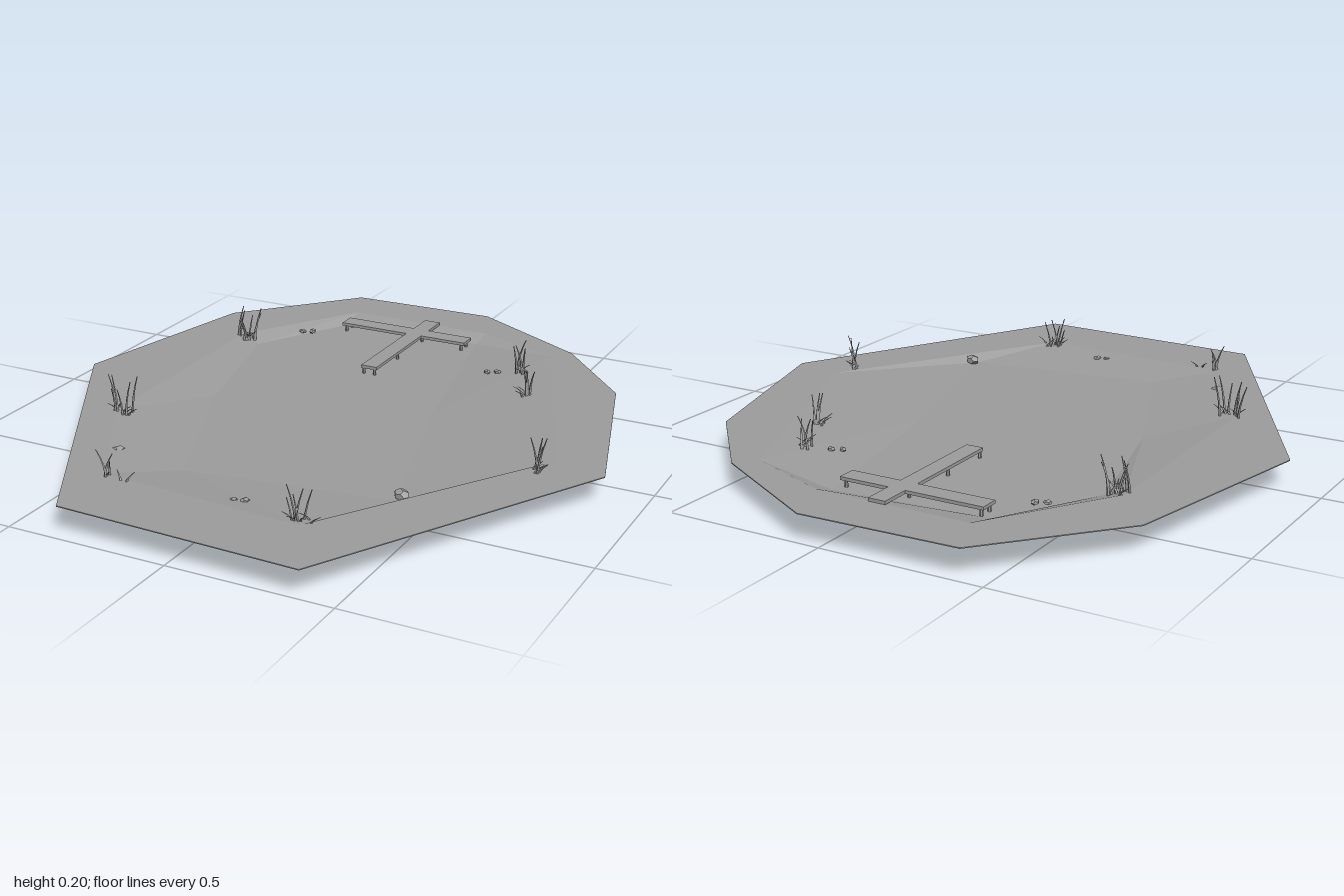
import * as THREE from 'three';

const grey = new THREE.MeshStandardMaterial({ color: 0x9d9d9d, flatShading: true, side: THREE.DoubleSide });

// Corners as [x, z]
const outline = [[-0.425, -0.985], [0.065, -1], [0.46, -0.78], [0.71, -0.5], [0.89, 0.12], [0.4, 1], [-0.355, 0.975], [-0.89, 0.035], [-0.75, -0.62]];
const shoreline = [[-0.36, -0.83], [0.13, -0.83], [0.41, -0.72], [0.73, 0.08], [0.28, 0.78], [-0.36, 0.74], [-0.6, 0.33], [-0.61, -0.45]];
const waterEdge = [[-0.37, -0.73], [0.12, -0.77], [0.25, -0.12], [0.42, 0.49], [-0.2, 0.58], [-0.2, 0.58], [-0.42, 0.05], [-0.54, -0.43]];

// Basin corners as [x, y, z]; the lower loop repeats its four corners
const basinRim = [
  [-0.47, 0.07, -0.79], [0.1, 0.062, -0.85], [0.4, 0.07, -0.73], [0.755, 0.062, -0.08], [0.64, 0.062, 0.5],
  [0.37, 0.075, 0.79], [-0.3, 0.075, 0.77], [-0.57, 0.068, 0.49], [-0.68, 0.073, -0.42],
];
const backLeft = [0.15, 0.022, -0.57], backRight = [-0.35, 0.022, -0.53];
const frontRight = [-0.33, 0.022, 0.39], frontLeft = [0.48, 0.022, 0.28];
const basinFoot = [backRight, backLeft, backLeft, frontLeft, frontLeft, frontLeft, frontRight, frontRight, backRight];

const at = (loop, y) => loop.map(([x, z]) => [x, y, z]);

function add(parent, name, geometry, x = 0, y = 0, z = 0) {
  const mesh = new THREE.Mesh(geometry, grey);
  mesh.name = name;
  mesh.position.set(x, y, z);
  parent.add(mesh);
  return mesh;
}

// Faceted wall between two loops, closed by a fan if a centre point is given
function facets(upper, lower, centre) {
  const pos = [];
  const tri = (...pts) => pts.forEach(p => pos.push(...p));
  upper.forEach((a, i) => {
    const j = (i + 1) % upper.length;
    tri(a, lower[i], upper[j]);
    tri(upper[j], lower[i], lower[j]);
    if (centre) tri(lower[i], centre, lower[j]);
  });
  const geo = new THREE.BufferGeometry();
  geo.setAttribute('position', new THREE.Float32BufferAttribute(pos, 3));
  geo.computeVertexNormals();
  return geo;
}

let seed = 7;
const rand = () => (seed = (seed * 16807) % 2147483647) / 2147483647;
const spread = r => (rand() * 2 - 1) * r;

// Thin tapering blade that curves sideways towards its tip
function bladeGeometry(height, lean) {
  const geo = new THREE.CylinderGeometry(0.0015, 0.005, height, 4, 4);
  geo.translate(0, height / 2, 0);
  const p = geo.attributes.position;
  const angle = rand() * Math.PI * 2;
  for (let i = 0; i < p.count; i++) {
    const bend = lean * (p.getY(i) / height) ** 2;
    p.setX(i, p.getX(i) + bend * Math.cos(angle));
    p.setZ(i, p.getZ(i) + bend * Math.sin(angle));
  }
  geo.computeVertexNormals();
  return geo;
}

export function createModel() {
  const group = new THREE.Group();
  group.name = 'pond';

  // Thin flat bank with an opening for the pond
  const points = loop => loop.map(([x, z]) => new THREE.Vector2(x, -z));
  const bankShape = new THREE.Shape(points(outline));
  bankShape.holes.push(new THREE.Path(points(shoreline)));
  const bank = new THREE.ExtrudeGeometry(bankShape, { depth: 0.003, bevelEnabled: false }).rotateX(-Math.PI / 2);
  add(group, 'bank', bank, 0, 0.081, 0);

  // Uneven shore and water surface
  add(group, 'water', facets(at(shoreline, 0.084), at(waterEdge, 0.063), [0, 0.065, 0]));

  // Sloping basin wall underneath, open at the foot
  add(group, 'basin', facets(basinRim, basinFoot));

  // Cross-shaped jetty on posts
  const jetty = new THREE.Group();
  jetty.name = 'jetty';
  group.add(jetty);
  const crossShape = new THREE.Shape([
    [-0.345, 0.68], [-0.1, 0.68], [-0.1, 0.337], [-0.045, 0.337], [-0.045, 0.68], [0.114, 0.68],
    [0.114, 0.74], [-0.045, 0.74], [-0.045, 0.835], [-0.1, 0.835], [-0.1, 0.74], [-0.345, 0.74],
  ].map(([x, y]) => new THREE.Vector2(x, y)));
  const deck = new THREE.ExtrudeGeometry(crossShape, { depth: 0.01, bevelEnabled: false }).rotateX(-Math.PI / 2);
  add(jetty, 'deck', deck, 0, 0.084, 0);
  const posts = [];
  for (const x of [-0.333, 0.1]) for (const z of [-0.73, -0.69]) posts.push([x, z]);
  for (const x of [-0.093, -0.055]) for (const z of [-0.345, -0.515, -0.71]) posts.push([x, z]);
  posts.forEach(([x, z]) => add(jetty, 'post', new THREE.CylinderGeometry(0.005, 0.005, 0.086, 6), x, 0.043, z));

  // Reed clumps: x, z, base, top, blade count, spread along x and z
  const clumps = [
    [-0.59, -0.43, 0.06, 0.185, 7, 0.035, 0.04], [0.375, -0.56, 0.075, 0.18, 4, 0.025, 0.03],
    [0.46, -0.36, 0.075, 0.17, 3, 0.018, 0.015], [0.7, 0.17, 0.05, 0.19, 4, 0.016, 0.02],
    [-0.58, 0.33, 0.06, 0.2, 6, 0.035, 0.025], [0.27, 0.75, 0.025, 0.18, 5, 0.03, 0.02],
    [-0.31, 0.75, 0.075, 0.165, 3, 0.04, 0.012],
  ];
  for (const [x, z, base, top, count, sx, sz] of clumps) {
    const clump = new THREE.Group();
    clump.name = 'reedClump';
    group.add(clump);
    for (let i = 0; i < count; i++) {
      const height = (top - base) * (i === 0 ? 1 : 0.65 + 0.35 * rand());
      add(clump, 'reed', bladeGeometry(height, 0.025), x + spread(sx), base, z + spread(sz));
      add(clump, 'lowLeaf', bladeGeometry(0.03, 0.03), x + spread(sx), 0.075, z + spread(sz));
    }
  }

  // Stones along the shore: x, z, radius
  const stones = [
    [0.43, 0.47, 0.027], [-0.43, 0.57, 0.022], [0.04, 0.71, 0.012], [0.07, 0.7, 0.015],
    [-0.45, -0.585, 0.013], [-0.42, -0.6, 0.014], [0.27, -0.51, 0.012], [0.3, -0.525, 0.013],
  ];
  for (const [x, z, r] of stones) {
    const stone = add(group, 'stone', new THREE.DodecahedronGeometry(r), x, 0.076, z);
    stone.scale.set(1, 0.6, 0.8);
    stone.rotation.y = rand() * 6;
  }
  return group;
}
